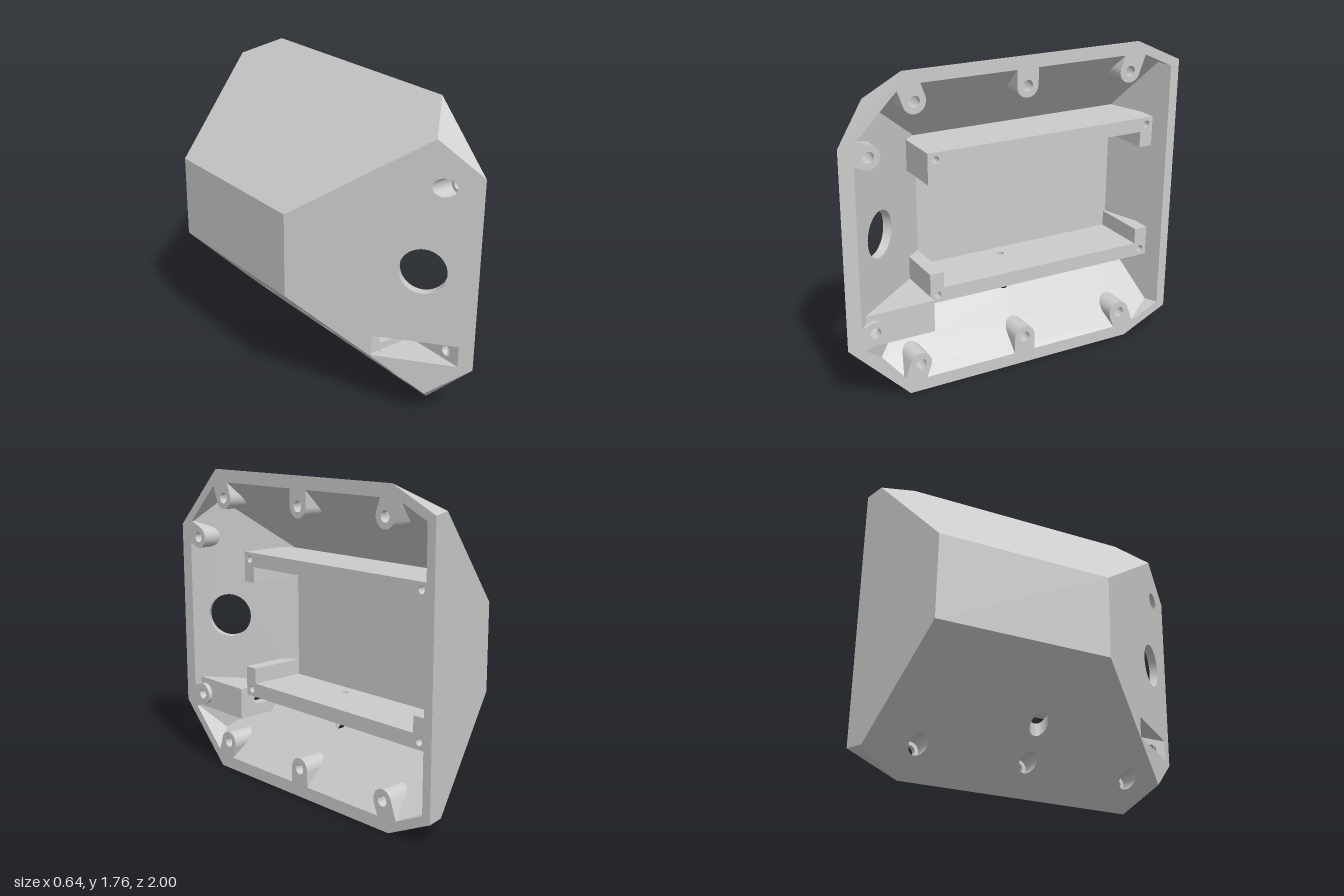
import * as THREE from 'three';
import { toCreasedNormals } from 'three/addons/utils/BufferGeometryUtils.js';

const V = (x, y, z) => new THREE.Vector3(x, y, z);
const X = V(1, 0, 0), Y = V(0, 1, 0), Z = V(0, 0, 1);
const H = 1.76, RIM = 0.32, WALL = 0.05;
const flip = (y, m) => (m > 0 ? y : H - y); // mirror about mid height

const material = new THREE.MeshStandardMaterial({ color: 0xcccccc, side: THREE.DoubleSide });

function mesh(name, triangles) {
  const geo = new THREE.BufferGeometry().setFromPoints(triangles.flat());
  const m = new THREE.Mesh(toCreasedNormals(geo, 0.5), material);
  m.name = name;
  return m;
}

// Planes and convex solids
const plane = (n, p) => new THREE.Plane().setFromNormalAndCoplanarPoint(n.clone().normalize(), p);
const inset = (planes, t) => planes.map(p => new THREE.Plane(p.normal.clone(), p.constant + t));
const basis = n => {
  const u = V().crossVectors(Math.abs(n.y) > 0.9 ? X : Y, n).normalize();
  return [u, V().crossVectors(n, u)];
};

function clip(poly, pl) {
  const out = [];
  poly.forEach((a, i) => {
    const b = poly[(i + 1) % poly.length], da = pl.distanceToPoint(a), db = pl.distanceToPoint(b);
    if (da <= 1e-7) out.push(a);
    if ((da < -1e-7 && db > 1e-7) || (da > 1e-7 && db < -1e-7)) out.push(a.clone().lerp(b, da / (da - db)));
  });
  return out;
}

// Outline of one face of the solid bounded by the planes
function facePoly(planes, i) {
  const p = planes[i], [u, v] = basis(p.normal), c = p.coplanarPoint(V());
  let poly = [[-9, -9], [9, -9], [9, 9], [-9, 9]].map(([a, b]) => c.clone().addScaledVector(u, a).addScaledVector(v, b));
  planes.forEach((q, j) => { if (j !== i) poly = clip(poly, q); });
  return poly;
}

// Flat polygon with holes, facing n
function panel(poly, n, holes = []) {
  if (poly.length < 3) return [];
  const [u, v] = basis(n), flat = l => l.map(p => new THREE.Vector2(p.dot(u), p.dot(v)));
  const all = [poly, ...holes].flat();
  return THREE.ShapeUtils.triangulateShape(flat(poly), holes.map(flat)).map(([a, b, c]) => {
    const t = [all[a], all[b], all[c]];
    const up = V().crossVectors(t[1].clone().sub(t[0]), t[2].clone().sub(t[0])).dot(n) > 0;
    return up ? t : t.reverse();
  });
}

const loft = (a, b) => a.flatMap((p, i) => {
  const j = (i + 1) % a.length;
  return [[p, a[j], b[j]], [p, b[j], b[i]]];
});

// Slide a loop along a direction onto a plane
const project = (loop, dir, pl) => loop.map(p =>
  p.clone().addScaledVector(dir, -pl.distanceToPoint(p) / pl.normal.dot(dir)));
const atX = (loop, x) => loop.map(p => V(x, p.y, p.z));

function ring(c, n, r, count = 32) {
  const [u, v] = basis(n);
  return Array.from({ length: count }, (_, i) => {
    const a = i / count * Math.PI * 2;
    return c.clone().addScaledVector(u, r * Math.cos(a)).addScaledVector(v, r * Math.sin(a));
  });
}

const boxPlanes = (x0, x1, y0, y1, z0, z1) => [
  plane(X, V(x1, 0, 0)), plane(V(-1, 0, 0), V(x0, 0, 0)), plane(Y, V(0, y1, 0)),
  plane(V(0, -1, 0), V(0, y0, 0)), plane(Z, V(0, 0, z1)), plane(V(0, 0, -1), V(0, 0, z0))];

// Axis-aligned block trimmed to fit inside the shell walls; holes keyed by face
function fitted(box, walls, holes = {}) {
  const planes = [...box, ...walls];
  return box.flatMap((p, i) => panel(facePoly(planes, i), p.normal, holes[i]));
}

export function createModel() {
  const group = new THREE.Group();
  group.name = 'slopedEnclosure';

  // Sloping sides: 0 top, 1 bottom, 2 front, 3 rear, 4-7 corner chamfers
  const side = (x, y, z, py, pz, m = 1) => plane(V(x, y * m, z), V(RIM, flip(py, m), pz));
  const sides = [
    side(-1, 1, 0, H, 0), side(-1, 1, 0, H, 0, -1),
    side(-0.8, 0, 0.64, 0, 1), side(-0.19, 0, -0.64, 0, -1),
    ...[1, -1].flatMap(m => [side(-0.058, 1, 1, H, 0.66, m), side(-0.016, 0.28, -0.13, H, -0.72, m)])];
  const rimPlane = plane(X, V(RIM, 0, 0));
  const shell = t => inset(sides, t);
  const outer = [...sides, rimPlane, plane(V(-1, 0, 0), V(-0.32, 0, 0))];
  const inner = [...shell(WALL), rimPlane, plane(V(-1, 0, 0), V(-0.08, 0, 0))];
  const mid = shell(0.03);
  const outerHoles = outer.map(() => []), innerHoles = outer.map(() => []);
  const cut = (i, loop, dir) => {
    const a = project(loop, dir, outer[i]), b = project(loop, dir, inner[i]);
    outerHoles[i].push(a);
    innerHoles[i].push(b);
    return [a, b];
  };

  // Large round opening in the front slope
  const port = ring(V(0.14, 0.885, 0.775), sides[2].normal, 0.127, 48);
  group.add(mesh('roundOpening', loft(...cut(2, port, sides[2].normal))));

  // Cable hole through the bottom slope
  const drain = ring(V(0, 0.35, -0.06), Y, 0.05);
  group.add(mesh('bottomHole', loft(...cut(1, drain, Y))));

  // Screw bosses: z, y, wall index for upper and lower, direction toward the wall
  const bosses = [
    [0.595, 1.6, [0, 1], 70], [-0.04, 1.6, [0, 1], 90], [-0.675, 1.6, [0, 1], 110], [0.845, 1.355, [2, 2], 20]];
  for (const [z, y0, walls, degrees] of bosses) for (const m of [1, -1]) {
    const y = flip(y0, m), wall = walls[m > 0 ? 0 : 1], inPocket = wall === 2 && m < 0;
    const a0 = degrees * Math.PI / 180, r = 0.063;
    const profile = [];
    const add = (a, b) => profile.push(V(RIM, y + m * (a * Math.sin(a0) + b * Math.cos(a0)), z + a * Math.cos(a0) - b * Math.sin(a0)));
    add(0.125, r);
    for (let i = 0; i <= 18; i++) add(-r * Math.sin(i / 18 * Math.PI), r * Math.cos(i / 18 * Math.PI));
    add(0.125, -r);
    const back = project(profile, X, mid[wall]).map(p =>
      V(Math.min(RIM, Math.max(p.x, inPocket ? 0.28 : -1)), p.y, p.z));
    const bore = ring(V(RIM, y, z), X, 0.03, 24), floor = inPocket ? 0.27 : 0.285;
    const tris = [...panel(profile, X, [bore]), ...loft(profile, back), ...loft(bore, atX(bore, floor))];
    if (!inPocket) {
      const wide = ring(V(floor, y, z), X, 0.05);
      tris.push(...panel(wide, X, [atX(bore, floor)]), ...loft(wide, cut(wall, wide, X)[0]));
    }
    group.add(mesh('screwBoss', tris));
  }

  // Connector pocket: recess in the front slope with a slotted end wall
  const [px0, px1, py0, py1, pz] = [-0.02, 0.27, 0.35, 0.47, 0.56];
  const mouth = [V(px0, py0, pz), V(px1, py0, pz), V(px1, py1, pz), V(px0, py1, pz)];
  const mouthOut = project(mouth, Z, outer[2]);
  outerHoles[2].push(mouthOut);
  innerHoles[2].push(project([V(0.05, py0, 0), mouth[1], mouth[2], mouth[3], V(px0, 0.42, 0)], Z, inner[2]));
  const slot = [];
  for (let i = 0; i <= 24; i++) {
    const a = (i < 12.5 ? i / 12 : (i - 1) / 12) * Math.PI - Math.PI / 2;
    slot.push(V((i < 12.5 ? 0.175 : 0.07) + 0.025 * Math.cos(a), 0.415 + 0.025 * Math.sin(a), pz));
  }
  const slotIn = slot.map(p => V(p.x, p.y, 0.5));
  const screw = ring(V(px1, 0.405, 0.845).setY(flip(1.355, -1)), X, 0.03, 24);
  const pocket = [...panel(mouth, Z, [slot]), ...loft(slot, slotIn)];
  mouth.forEach((p, i) => {
    const j = (i + 1) % 4, n = [Y, V(-1, 0, 0), V(0, -1, 0), X][i];
    pocket.push(...panel([p, mouth[j], mouthOut[j], mouthOut[i]], n, i === 1 ? [screw] : []));
  });
  group.add(mesh('connectorPocket', pocket));
  const housing = boxPlanes(-0.2, 0.295, 0.32, 0.5, 0.5, 1.2);
  group.add(mesh('connectorHousing', fitted(housing, mid, { 0: [atX(screw, 0.295)], 5: [slotIn] })));

  // Upper and lower mounting shelves with corner posts and pilot holes
  const shelfX = 0.25;
  const span = (a, b, m) => [flip(a, m), flip(b, m)].sort((p, q) => p - q);
  for (const m of [1, -1]) {
    const pilots = [0.455, -0.855].map(z => ring(V(shelfX, flip(1.26, m), z), X, 0.02, 20));
    const holes = { 0: pilots }, tris = [];
    const [y0, y1] = span(1.22, 1.3, m);
    if (m < 0) {
      const top = ring(V(0, y1, -0.06), Y, 0.02, 20), low = top.map(p => V(p.x, y0, p.z));
      holes[2] = [top];
      holes[3] = [low];
      tris.push(...loft(top, low));
    }
    for (const p of pilots) {
      const end = atX(p, shelfX - 0.12);
      tris.push(...loft(p, end), ...panel(end, X));
    }
    tris.push(...fitted(boxPlanes(-0.09, shelfX, y0, y1, -0.895, 0.5), mid, holes));
    group.add(mesh(m > 0 ? 'upperShelf' : 'lowerShelf', tris));
    for (const [z0, z1] of [[0.42, 0.5], [-0.895, -0.815]])
      group.add(mesh('cornerPost', fitted(boxPlanes(-0.12, shelfX, ...span(1.13, 1.22, m), z0, z1), mid)));
  }

  // Outer skin, cavity lining and rim
  const RIM_FACE = 8;
  const skin = (planes, holes, s) => planes.flatMap((p, i) => i === RIM_FACE ? [] :
    panel(facePoly(planes, i), p.normal.clone().multiplyScalar(s), holes[i]));
  group.add(mesh('outerShell', skin(outer, outerHoles, 1)));
  group.add(mesh('cavityLining', skin(inner, innerHoles, -1)));
  group.add(mesh('rim', panel(facePoly(outer, RIM_FACE), X, [facePoly(inner, RIM_FACE)])));
  return group;
}
